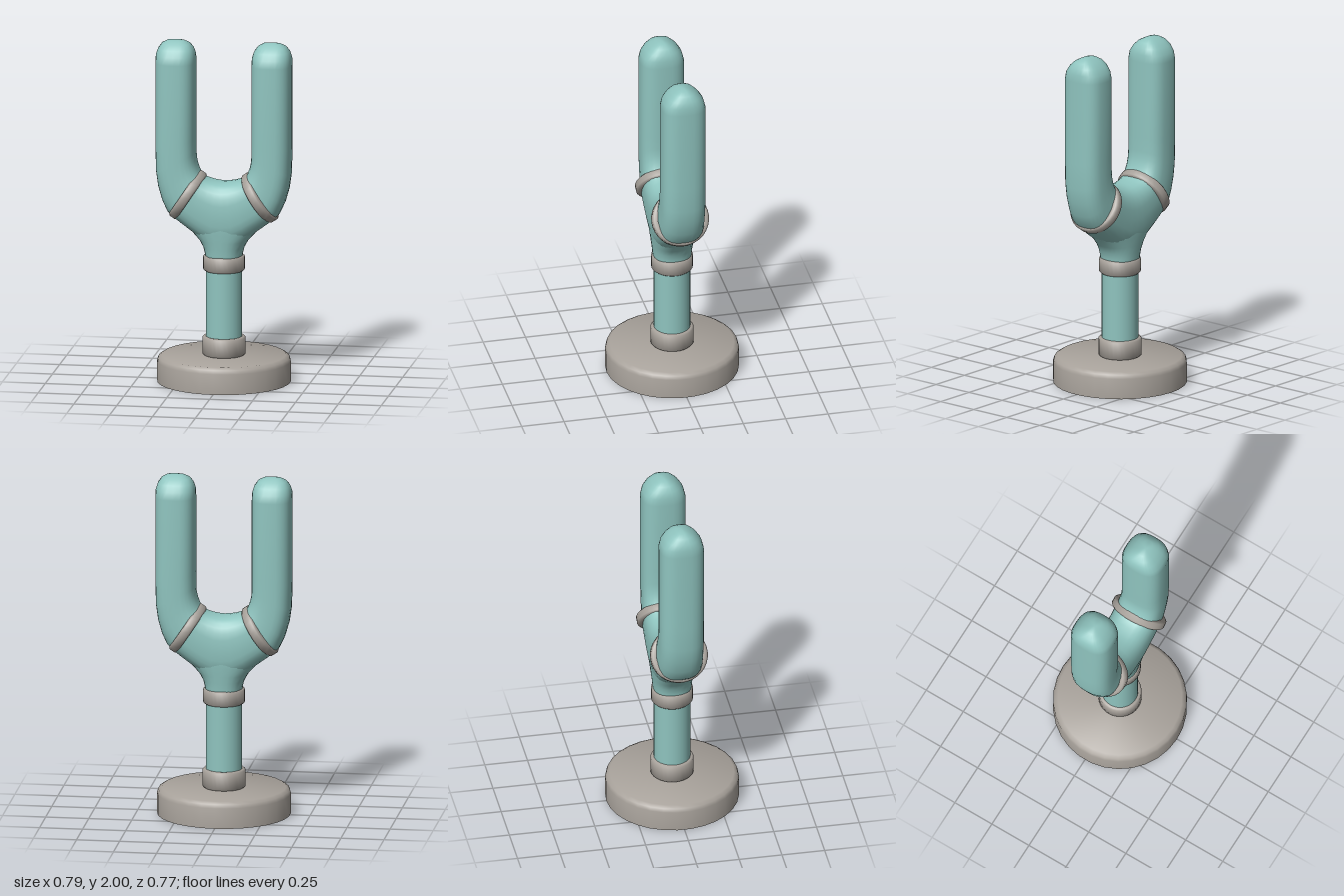
import * as THREE from 'three';
import { toCreasedNormals } from 'three/addons/utils/BufferGeometryUtils.js';

const teal = new THREE.MeshStandardMaterial({ color: 0x8fc4bf });
teal.name = 'teal';
const grey = new THREE.MeshStandardMaterial({ color: 0xa8a29b });
grey.name = 'warmGrey';

// Each section is [ax, ay, bx, by, depth]: a rounded loop whose diameter runs
// from a to b in the xy plane, with the given half depth along z.
function loft(sections, sides = 28, power = 2.7) {
  const pos = [], idx = [];
  const round = (v) => Math.sign(v) * Math.pow(Math.abs(v), 2 / power);
  for (const [ax, ay, bx, by, d] of sections) {
    for (let j = 0; j < sides; j++) {
      const t = (j / sides) * Math.PI * 2;
      const c = round(Math.cos(t)), s = round(Math.sin(t));
      pos.push((ax + bx) / 2 + (c * (bx - ax)) / 2, (ay + by) / 2 + (c * (by - ay)) / 2, s * d);
    }
  }
  const n = sections.length;
  for (let i = 0; i < n - 1; i++) {
    for (let j = 0; j < sides; j++) {
      const k = (j + 1) % sides;
      const p = i * sides + j, q = i * sides + k;
      idx.push(p, p + sides, q, q, p + sides, q + sides);
    }
  }
  // closed ends
  for (const i of [0, n - 1]) {
    const [ax, ay, bx, by] = sections[i];
    const centre = pos.length / 3;
    pos.push((ax + bx) / 2, (ay + by) / 2, 0);
    for (let j = 0; j < sides; j++) {
      const p = i * sides + j, q = i * sides + ((j + 1) % sides);
      if (i === 0) idx.push(centre, p, q);
      else idx.push(centre, q, p);
    }
  }
  const g = new THREE.BufferGeometry();
  g.setAttribute('position', new THREE.Float32BufferAttribute(pos, 3));
  g.setIndex(idx);
  g.computeVertexNormals();
  return g;
}

// Bevelled band between two radii, centred on its own axis
function band(inner, outer, height, bevel, sides = 32) {
  const h = height / 2;
  const profile = [
    [inner, -h], [outer - bevel, -h], [outer, -h + bevel],
    [outer, h - bevel], [outer - bevel, h], [inner, h], [inner, -h],
  ].map(([r, y]) => new THREE.Vector2(r, y));
  return toCreasedNormals(new THREE.LatheGeometry(profile, sides), 0.9);
}

export function createModel() {
  const model = new THREE.Group();
  model.name = 'twoProngedStand';
  const add = (name, geometry, material, x = 0, y = 0) => {
    const mesh = new THREE.Mesh(geometry, material);
    mesh.name = name;
    mesh.position.set(x, y, 0);
    model.add(mesh);
    return mesh;
  };

  // Round foot with a softened upper rim
  const foot = [[0, 0], [0.385, 0], [0.385, 0.12], [0.378, 0.142], [0.357, 0.155], [0, 0.155]]
    .map(([r, y]) => new THREE.Vector2(r, y));
  add('base', toCreasedNormals(new THREE.LatheGeometry(foot, 30), 0.8), grey);

  // Stem and its two collars
  add('stem', new THREE.CylinderGeometry(0.105, 0.105, 0.6, 28), teal, 0, 0.45);
  add('lowerCollar', band(0.09, 0.124, 0.11, 0.008), grey, 0, 0.21);
  add('upperCollar', band(0.09, 0.12, 0.09, 0.008), grey, 0, 0.697);

  // Neck flaring up into the fork
  add('neck', loft([
    [-0.104, 0.7, 0.104, 0.7, 0.108],
    [-0.108, 0.75, 0.108, 0.75, 0.112],
    [-0.118, 0.79, 0.118, 0.79, 0.116],
    [-0.14, 0.83, 0.14, 0.83, 0.121],
    [-0.185, 0.88, 0.185, 0.88, 0.126],
    [-0.225, 0.93, 0.225, 0.93, 0.13],
    [-0.22, 1.0, 0.22, 1.0, 0.132],
    [-0.16, 1.08, 0.16, 1.08, 0.125],
  ], 28, 2.25), teal);

  // Fork, from the crotch out along one arm and up to the prong tip
  const half = [
    [0.03, 1.176, 0.07, 0.81, 0.134],
    [0.065, 1.182, 0.14, 0.85, 0.134],
    [0.1, 1.192, 0.2, 0.893, 0.134],
    [0.132, 1.212, 0.285, 0.956, 0.134],
    [0.145, 1.24, 0.325, 0.995, 0.132],
    [0.155, 1.268, 0.355, 1.06, 0.13],
    [0.162, 1.3, 0.378, 1.14, 0.129],
    [0.165, 1.34, 0.391, 1.23, 0.129],
    [0.165, 1.42, 0.395, 1.38, 0.129],
    [0.165, 1.87, 0.395, 1.87, 0.129],
    [0.167, 1.915, 0.393, 1.915, 0.118],
    [0.178, 1.95, 0.382, 1.95, 0.095],
    [0.198, 1.978, 0.362, 1.978, 0.065],
    [0.228, 1.995, 0.332, 1.995, 0.032],
    [0.262, 2.0, 0.298, 2.0, 0.01],
  ];
  const mirrored = half.map(([ax, ay, bx, by, d]) => [-ax, ay, -bx, by, d]).reverse();
  add('fork', loft([...mirrored, [0, 1.174, 0, 0.8, 0.134], ...half]), teal);

  // Tilted rings around the arms
  for (const side of [1, -1]) {
    const ring = add(side > 0 ? 'leftArmRing' : 'rightArmRing',
      band(0.13, 0.16, 0.055, 0.01), grey, side * 0.21, 1.088);
    ring.rotation.z = -side * 0.985;
    ring.scale.z = 1.04;
  }
  return model;
}
